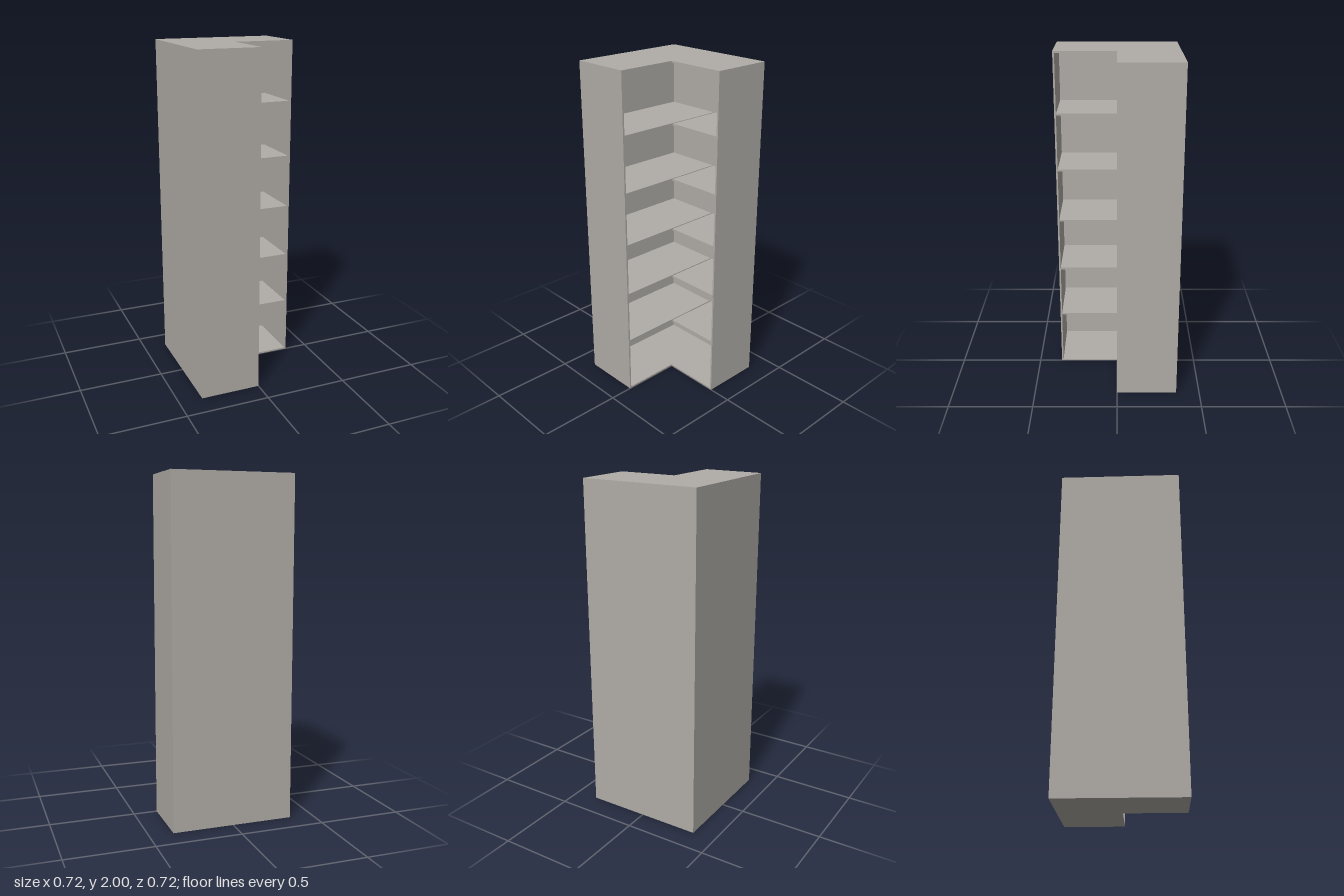
import * as THREE from 'three';

const H = 2, R = 0.36, T = 0.01; // height, half width, panel thickness

export function createModel() {
  const group = new THREE.Group();
  const body = new THREE.MeshStandardMaterial({ color: 0xb0aca6 });
  body.name = 'warm grey';

  // box given by its minimum and maximum corners
  const box = (name, x0, x1, y0, y1, z0, z1) => {
    const mesh = new THREE.Mesh(new THREE.BoxGeometry(x1 - x0, y1 - y0, z1 - z0), body);
    mesh.position.set((x0 + x1) / 2, (y0 + y1) / 2, (z0 + z1) / 2);
    mesh.name = name;
    group.add(mesh);
  };

  // L-shaped floor and top panels
  const outline = new THREE.Shape(
    [[-R, -R], [0, -R], [0, 0], [R, 0], [R, R], [-R, R]].map(([x, y]) => new THREE.Vector2(x, y))
  );
  const slab = new THREE.ExtrudeGeometry(outline, { depth: T, bevelEnabled: false });
  slab.rotateX(-Math.PI / 2);
  for (const [name, y] of [['floorPanel', 0], ['topPanel', H - T]]) {
    const mesh = new THREE.Mesh(slab, body);
    mesh.position.y = y;
    mesh.name = name;
    group.add(mesh);
  }

  // two long back walls and the two end walls of the arms
  box('backWall', -R, R, T, H - T, -R, -R + T);
  box('sideWall', -R, -R + T, T, H - T, -R + T, R);
  box('frontEndWall', -R + T, 0, T, H - T, R - T, R);
  box('sideEndWall', R - T, R, T, H - T, -R + T, 0);

  // five levels of shelves: a long board and a short one with a narrow gap between
  for (const y of [0.345, 0.665, 0.985, 1.305, 1.64]) {
    const y0 = y - 0.006, y1 = y + 0.006;
    box('longShelf', -R + T, -0.002, y0, y1, -R + T, R - T);
    box('shortShelf', 0.006, R - T - 0.003, y0, y1, -R + T, -0.002);
  }
  return group;
}
